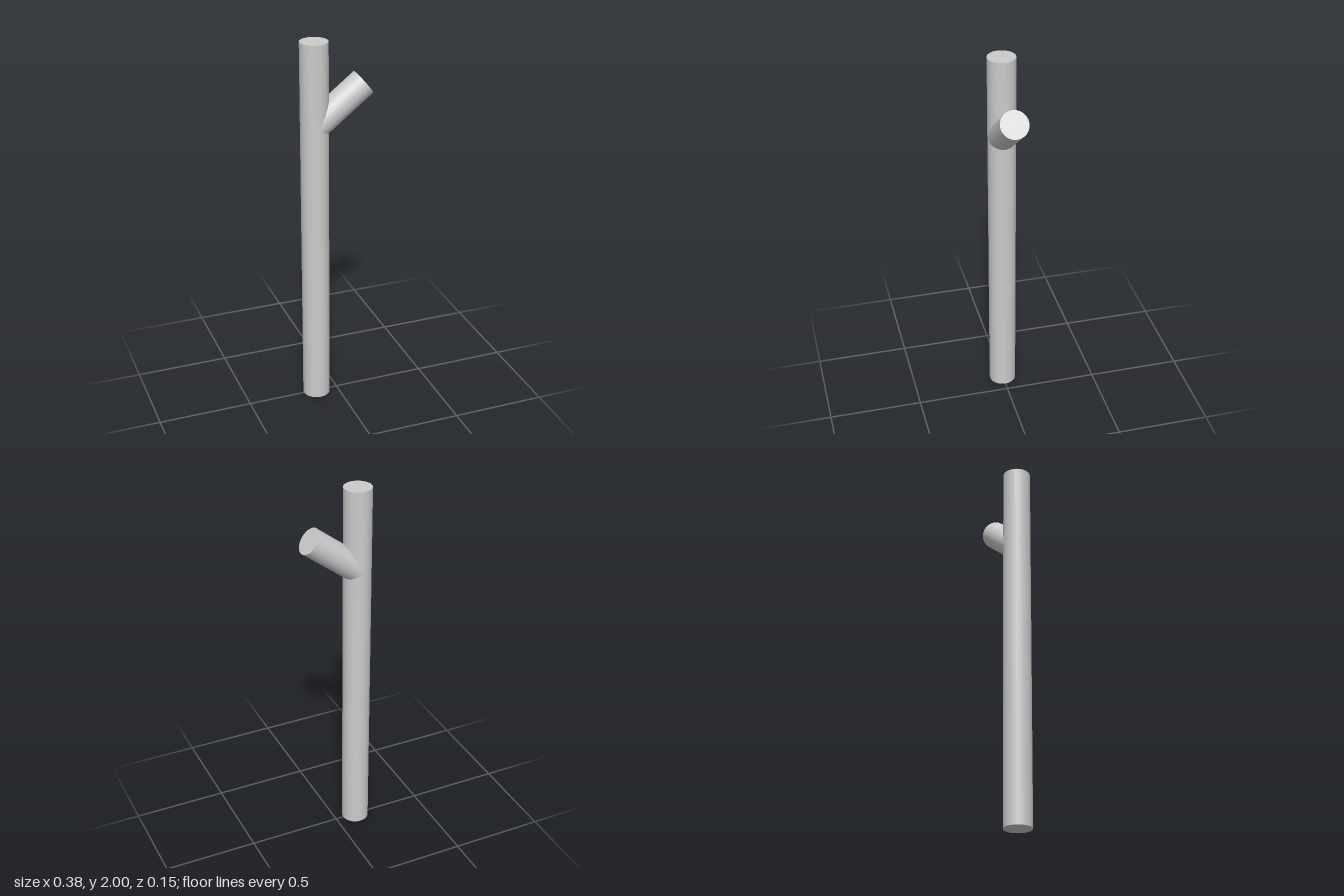
import * as THREE from 'three';

const RADIUS = 0.073;
const SIDES = 24;

// Capped rod of constant radius between two points
function rod(name, from, to, material) {
  const axis = to.clone().sub(from);
  const mesh = new THREE.Mesh(
    new THREE.CylinderGeometry(RADIUS, RADIUS, axis.length(), SIDES),
    material
  );
  mesh.name = name;
  mesh.position.copy(from).add(to).multiplyScalar(0.5);
  mesh.quaternion.setFromUnitVectors(new THREE.Vector3(0, 1, 0), axis.normalize());
  return mesh;
}

export function createModel() {
  const group = new THREE.Group();
  group.name = 'branchedPole';
  const material = new THREE.MeshStandardMaterial({ color: 0xcccccc });

  // Upright pole, offset to the model's right
  const x = -0.117;
  group.add(rod('pole', new THREE.Vector3(x, 0, 0), new THREE.Vector3(x, 2, 0), material));

  // Short branch rising from the pole's axis
  group.add(rod('branch', new THREE.Vector3(x, 1.557, 0), new THREE.Vector3(0.145, 1.762, 0), material));

  return group;
}
